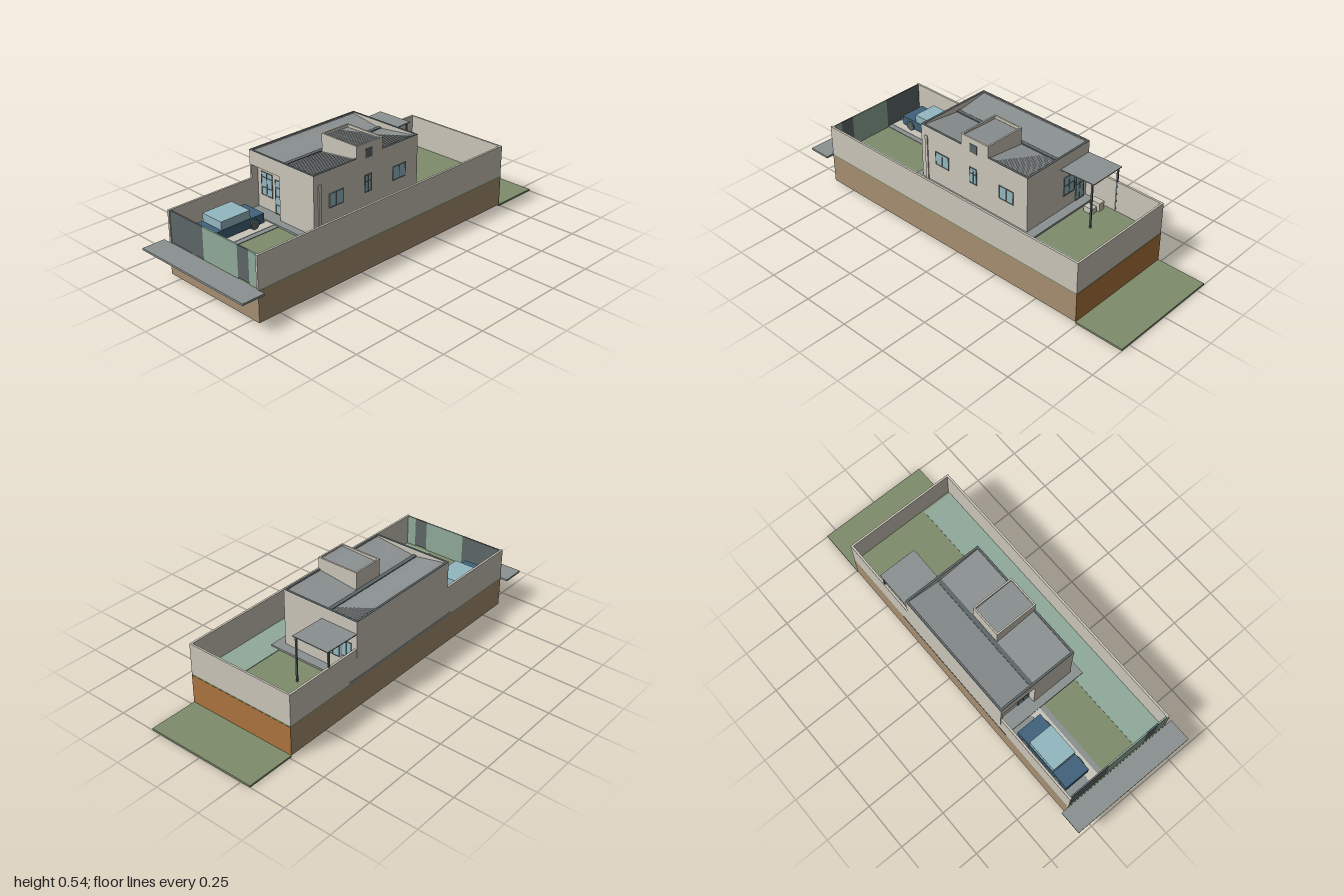
import * as THREE from 'three';

const mat = (name, color) => {
  const m = new THREE.MeshStandardMaterial({ color });
  m.name = name;
  return m;
};

export function createModel() {
  const wall = mat('wall plaster', 0xcac5b9);
  const soil = mat('soil', 0xa68e71);
  const clay = mat('clay', 0xab743d);
  const grass = mat('grass', 0x7f8c6c);
  const sage = mat('sage green', 0x8faa9a);
  const dark = mat('dark metal', 0x5d6667);
  const grey = mat('concrete grey', 0x8b9191);
  const glass = mat('glass blue', 0x93b8c0);
  const blue = mat('car blue', 0x41627b);
  const roofing = mat('roof sheet', 0x8b9091);
  roofing.side = THREE.DoubleSide;

  const model = new THREE.Group();
  model.name = 'houseOnPlot';
  const group = (name) => {
    const g = new THREE.Group();
    g.name = name;
    model.add(g);
    return g;
  };
  // Box given by its lower and upper limits on each axis
  const box = (parent, name, m, x0, x1, y0, y1, z0, z1) => {
    const mesh = new THREE.Mesh(new THREE.BoxGeometry(x1 - x0, y1 - y0, z1 - z0), m);
    mesh.position.set((x0 + x1) / 2, (y0 + y1) / 2, (z0 + z1) / 2);
    mesh.name = name;
    parent.add(mesh);
    return mesh;
  };
  // Four walls around a rectangle
  const ring = (parent, name, m, x0, x1, y0, y1, z0, z1, t) => {
    box(parent, name, m, x0, x0 + t, y0, y1, z0, z1);
    box(parent, name, m, x1 - t, x1, y0, y1, z0, z1);
    box(parent, name, m, x0 + t, x1 - t, y0, y1, z0, z0 + t);
    box(parent, name, m, x0 + t, x1 - t, y0, y1, z1 - t, z1);
  };
  // Corrugated sheet sloping along x
  const sheet = (parent, name, x0, y0, x1, y1, z0, z1) => {
    const n = Math.round((z1 - z0) / 0.008) * 2;
    const geo = new THREE.PlaneGeometry(1, 1, 1, n).rotateX(-Math.PI / 2);
    const p = geo.attributes.position;
    for (let i = 0; i < p.count; i++) {
      const u = p.getX(i) + 0.5;
      const ripple = Math.floor(i / 2) % 2 ? 0.0015 : -0.0015;
      p.setXYZ(i, x0 + (x1 - x0) * u, y0 + (y1 - y0) * u + ripple, z0 + (z1 - z0) * (p.getZ(i) + 0.5));
    }
    geo.computeVertexNormals();
    const mesh = new THREE.Mesh(geo, roofing);
    mesh.name = name;
    parent.add(mesh);
  };
  // Glazed window with frame and bars; width runs along x, facing +z
  const glazing = (parent, name, w, h, cols, bars) => {
    const g = new THREE.Group();
    g.name = name;
    parent.add(g);
    const f = 0.004;
    box(g, 'pane', glass, -w / 2, w / 2, 0, h, 0, 0.002);
    for (let i = 0; i <= cols; i++) {
      const x = -w / 2 + f / 2 + ((w - f) * i) / cols;
      box(g, 'frameUpright', dark, x - f / 2, x + f / 2, 0, h, 0, 0.004);
    }
    for (const y of [0, ...bars, h - f]) box(g, 'frameBar', dark, -w / 2, w / 2, y, y + f, 0, 0.0038);
    return g;
  };

  // Ground
  const ground = group('ground');
  box(ground, 'soilBlock', soil, -0.305, 0.302, 0.01, 0.163, -0.738, 0.88);
  box(ground, 'clayBackFace', clay, -0.305, 0.302, 0.01, 0.163, -0.741, -0.738);
  box(ground, 'lawn', grass, -0.305, 0.302, 0.163, 0.17, -0.74, 0.879);
  box(ground, 'lowerLawn', grass, -0.305, 0.302, 0, 0.01, -1, -0.741);
  box(ground, 'sidewalk', grey, -0.345, 0.343, 0.162, 0.172, 0.88, 1);
  box(ground, 'sideStrip', sage, 0.125, 0.29, 0.17, 0.173, -0.72, 0.85);
  box(ground, 'driveway', grey, -0.295, -0.07, 0.17, 0.173, 0.43, 0.875);
  box(ground, 'path', wall, -0.15, -0.097, 0.173, 0.175, 0.435, 0.875);
  box(ground, 'houseSlab', grey, -0.3065, 0.175, 0.168, 0.18, -0.345, 0.435);

  // Boundary walls and front fence
  const boundary = group('boundary');
  for (const [x0, x1] of [[-0.305, -0.294], [0.291, 0.302]])
    box(boundary, 'sideWall', wall, x0, x1, 0.17, 0.335, -0.74, 0.88);
  box(boundary, 'backWall', wall, -0.294, 0.291, 0.17, 0.335, -0.74, -0.73);
  for (const [m, x0, x1] of [[dark, -0.294, -0.065], [sage, -0.065, 0.167], [dark, 0.167, 0.24], [sage, 0.24, 0.291]])
    box(boundary, 'fencePanel', m, x0, x1, m === dark ? 0.176 : 0.171, 0.334, 0.867, 0.875);

  // House body with a recessed entrance
  const house = group('house');
  const top = 0.478;
  box(house, 'body', wall, -0.3055, 0.13, 0.17, 0.44, -0.295, 0.357);
  box(house, 'frontRoom', wall, -0.1, 0.13, 0.17, 0.44, 0.357, 0.395);
  box(house, 'entranceCheek', wall, -0.3055, -0.294, 0.17, 0.44, 0.357, 0.395);
  box(house, 'entranceLintel', wall, -0.294, -0.1, 0.405, 0.44, 0.357, 0.395);
  ring(house, 'parapet', wall, -0.3055, 0.13, 0.44, top, -0.295, 0.395, 0.01);
  ring(house, 'parapetCap', dark, -0.306, 0.1305, top, top + 0.0025, -0.2955, 0.3955, 0.011);
  box(house, 'cornerPier', wall, 0.13, 0.135, 0.18, 0.427, 0.352, 0.368);

  // Valley roof and its gutter
  sheet(house, 'leftRoof', -0.295, 0.474, -0.115, 0.446, -0.285, 0.385);
  sheet(house, 'rightRoof', -0.11, 0.446, 0.12, 0.474, -0.285, 0.385);
  box(house, 'valleyGutter', dark, -0.123, -0.102, 0.44, 0.452, -0.285, 0.385);

  // Roof tower
  ring(house, 'towerWall', wall, -0.1, 0.1308, 0.44, 0.541, -0.05, 0.123, 0.008);
  sheet(house, 'towerRoof', -0.092, 0.526, 0.123, 0.534, -0.042, 0.115);
  box(house, 'towerVent', dark, 0.13, 0.133, 0.465, 0.511, 0.02, 0.066);

  // Doors and windows
  const openings = group('openings');
  glazing(openings, 'frontWindow', 0.078, 0.122, 2, [0.04, 0.092]).position.set(-0.229, 0.249, 0.357);
  glazing(openings, 'frontDoor', 0.07, 0.176, 2, [0.045, 0.09, 0.135]).position.set(-0.136, 0.18, 0.357);
  for (const [z, y, w, h] of [[0.255, 0.29, 0.09, 0.073], [0.047, 0.29, 0.046, 0.09], [-0.165, 0.29, 0.09, 0.073]]) {
    const win = glazing(openings, 'sideWindow', w, h, 2, w < 0.06 ? [h * 0.6] : []);
    win.position.set(0.13, y, z);
    win.rotation.y = Math.PI / 2;
  }
  for (const [x, y, w, h] of [[-0.245, 0.18, 0.06, 0.175], [-0.165, 0.25, 0.08, 0.105]]) {
    const rear = glazing(openings, 'rearOpening', w, h, 2, [h * 0.5]);
    rear.position.set(x, y, -0.295);
    rear.rotation.y = Math.PI;
  }

  // Back porch
  const porch = group('backPorch');
  const canopy = box(porch, 'canopy', grey, -0.305, -0.1, -0.0025, 0.0025, -0.1, 0.1);
  canopy.position.set(-0.2025, 0.417, -0.393);
  canopy.rotation.x = 0.035;
  for (const x of [-0.297, -0.108])
    box(porch, 'post', dark, x - 0.004, x + 0.004, 0.17, 0.418, -0.482, -0.474);
  box(porch, 'counter', wall, -0.27, -0.235, 0.17, 0.215, -0.43, -0.37);
  box(porch, 'bench', wall, -0.225, -0.19, 0.17, 0.2, -0.42, -0.37);

  // Parked car
  const car = group('car');
  box(car, 'carBody', blue, -0.265, -0.127, 0.188, 0.236, 0.47, 0.815);
  box(car, 'carCabin', glass, -0.262, -0.13, 0.236, 0.278, 0.55, 0.72);
  for (const x of [-0.266, -0.128])
    for (const z of [0.53, 0.755]) {
      const wheel = new THREE.Mesh(new THREE.CylinderGeometry(0.025, 0.025, 0.016, 16), dark);
      wheel.name = 'wheel';
      wheel.rotation.z = Math.PI / 2;
      wheel.position.set(x, 0.2, z);
      car.add(wheel);
    }
  return model;
}
